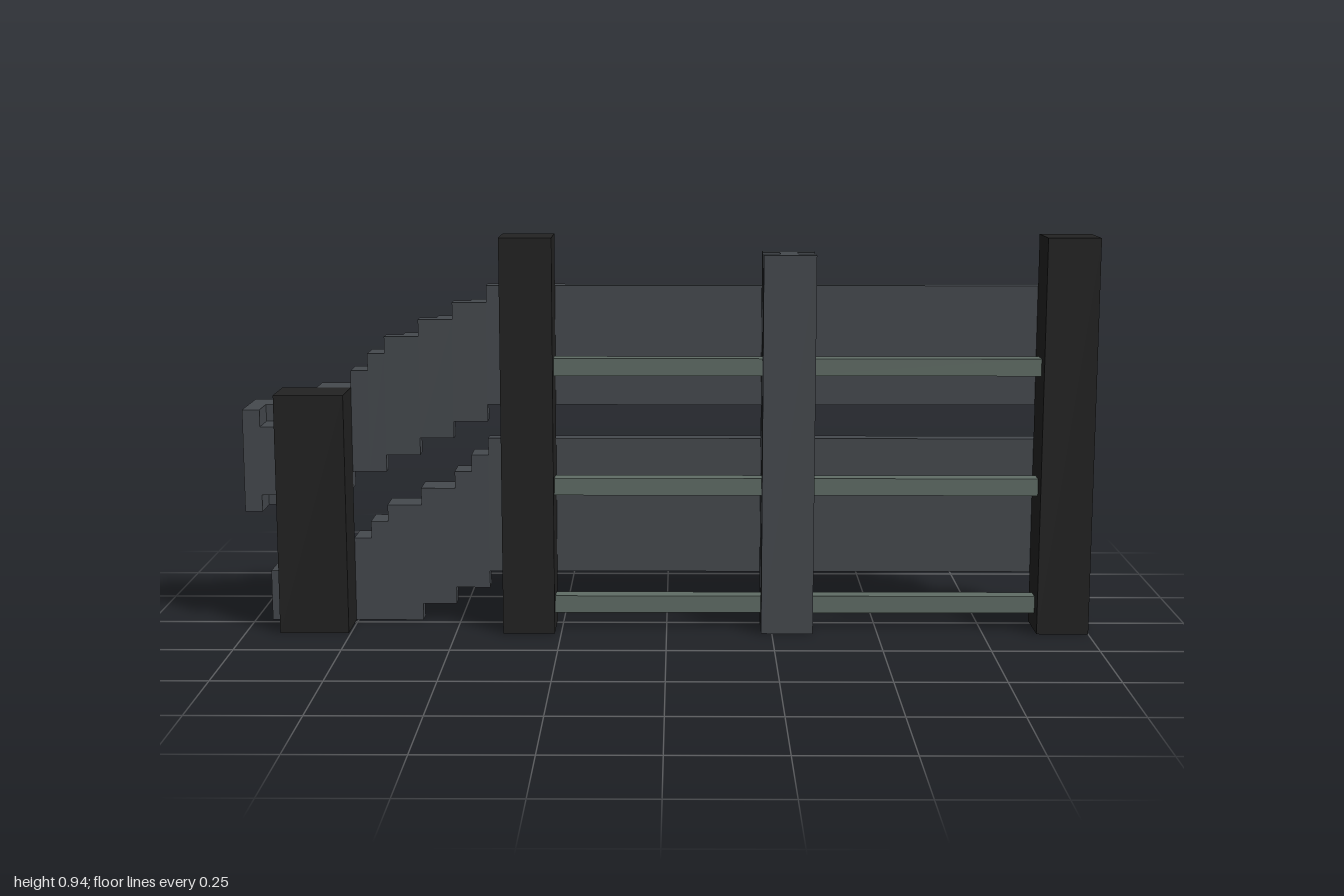
import * as THREE from 'three';

const U = 2 / 49; // one block

const mat = (name, color) => {
  const m = new THREE.MeshStandardMaterial({ color });
  m.name = name;
  return m;
};

export function createModel() {
  const root = new THREE.Group();
  root.name = 'guardRail';
  const black = mat('black post', 0x222222);
  const steel = mat('dark grey steel', 0x45494e);
  const green = mat('grey green rail', 0x606d66);

  const group = (name) => {
    const g = new THREE.Group();
    g.name = name;
    root.add(g);
    return g;
  };

  // Box from block coordinates: x from the right end, y from the ground, z from the back
  const box = (parent, name, material, x0, x1, y0, y1, z0, z1) => {
    const m = new THREE.Mesh(
      new THREE.BoxGeometry((x1 - x0) * U, (y1 - y0) * U, (z1 - z0) * U), material);
    m.position.set(((x0 + x1) / 2 - 24.5) * U, ((y0 + y1) / 2) * U, ((z0 + z1) / 2 - 2.5) * U);
    m.name = name;
    parent.add(m);
  };

  // Black posts
  box(root, 'leftPost', black, 46, 49, 0, 23, 2, 5);
  box(root, 'middlePost', black, 15, 18, 0, 23, 2, 5);
  box(root, 'shortPost', black, 2, 6, 0, 14, 2, 5);

  // I-section post: two flanges joined by a web
  const iPost = group('iBeamPost');
  box(iPost, 'frontFlange', steel, 30, 33, 0, 22, 4, 5);
  box(iPost, 'backFlange', steel, 30, 33, 0, 22, 2, 3);
  box(iPost, 'web', steel, 31, 32, 0, 22, 3, 4);

  // Thin rails, interrupted by the web
  for (const y of [1, 8, 15]) {
    box(root, 'thinRail', green, 18, 31, y, y + 1, 3, 4);
    box(root, 'thinRail', green, 32, 46, y, y + 1, 3, 4);
  }

  // Upper beam panel: runs of [x0, x1, bottom, top], stepping down to the right end
  const upper = group('upperBeam');
  const upperPanel = [
    [14, 49, 13, 20], [12, 14, 12, 19], [10, 12, 11, 18], [8, 10, 10, 17],
    [7, 8, 9, 16], [6, 7, 9, 15], [4, 6, 8, 14], [0, 4, 7, 13],
  ];
  for (const [a, b, y0, y1] of upperPanel) box(upper, 'panel', steel, a, b, y0, y1, 1, 2);

  // Upper ribs: runs of [x0, x1, drop]
  const upperRuns = [
    [13, 49, 0], [11, 13, 1], [9, 11, 2], [7, 9, 3], [6, 7, 4], [4, 6, 5], [0, 4, 6],
  ];
  for (const [a, b, d] of upperRuns)
    for (const y of [14, 16, 18]) box(upper, 'rib', steel, a, b, y - d, y - d + 1, 0, 1);

  // Curled end wrapping beside the short post
  box(upper, 'endPlate', steel, 0, 1, 7, 13, 2, 4);
  box(upper, 'endFilling', steel, 1, 2, 8, 12, 2, 4);

  // Lower beam
  const lower = group('lowerBeam');
  const lowerPanel = [
    [14, 49, 3, 11], [13, 14, 2, 10], [12, 13, 2, 9], [10, 12, 1, 8], [8, 10, 0, 7],
    [7, 8, 0, 6], [6, 7, 0, 5], [4, 6, 0, 4], [1, 4, 0, 3],
  ];
  for (const [a, b, y0, y1] of lowerPanel) box(lower, 'panel', steel, a, b, y0, y1, 1, 2);

  const lowerRuns = [
    [13, 49, 0], [12, 13, 1], [10, 12, 2], [8, 10, 3], [7, 8, 4], [6, 7, 5], [4, 6, 6], [1, 4, 7],
  ];
  for (const [a, b, d] of lowerRuns)
    for (const y of [4, 8]) {
      const y0 = Math.max(0, y - d);
      const y1 = y + 2 - d;
      if (y1 > y0) box(lower, 'rib', steel, a, b, y0, y1, 0, 1);
    }

  return root;
}
